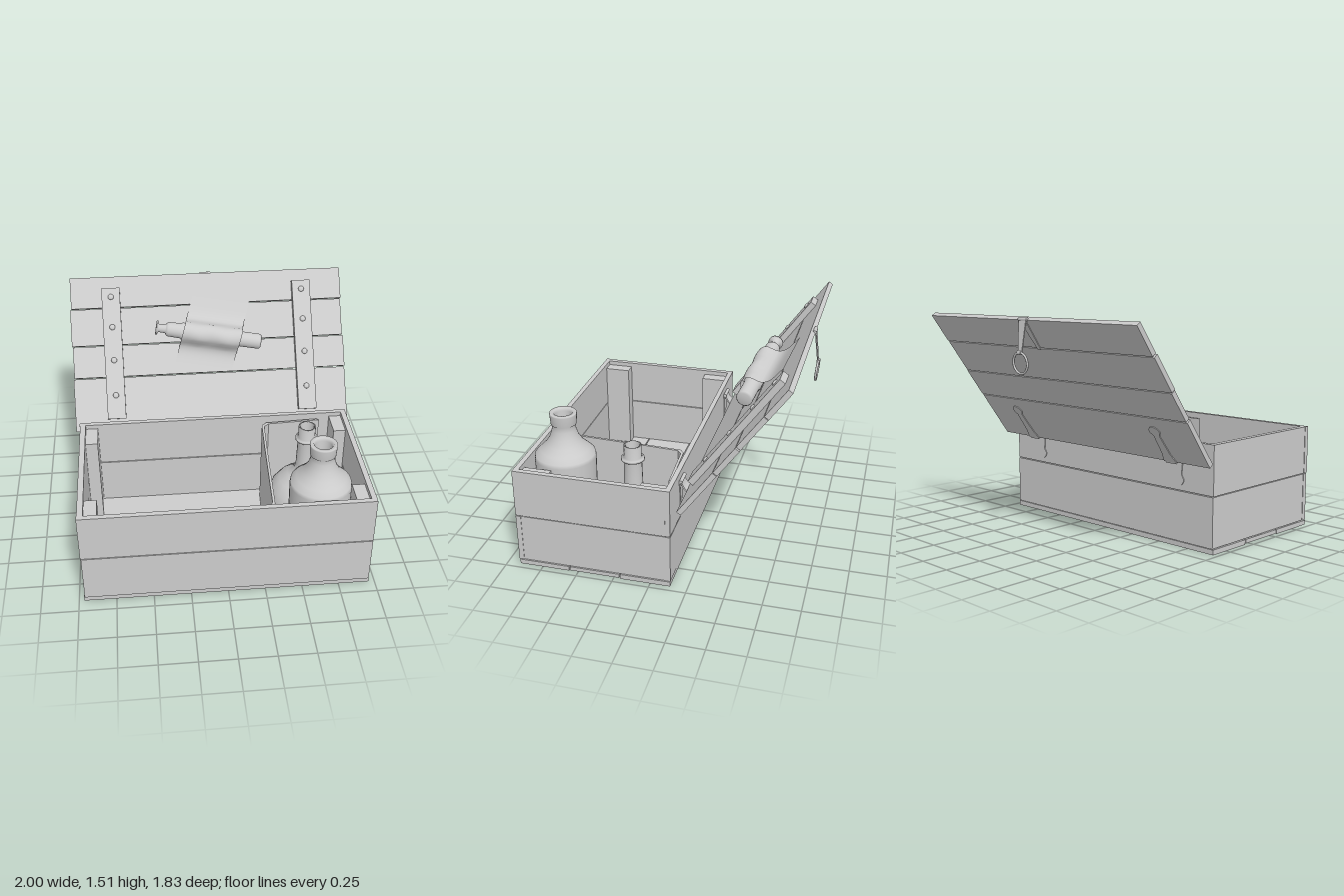
import * as THREE from 'three';

const mat = new THREE.MeshStandardMaterial({ color: 0xcccccc, side: THREE.DoubleSide });
const flat = new THREE.MeshStandardMaterial({ color: 0xcccccc, flatShading: true });

function add(parent, name, geo, x = 0, y = 0, z = 0, m = mat) {
  const mesh = new THREE.Mesh(geo, m);
  mesh.name = name;
  mesh.position.set(x, y, z);
  parent.add(mesh);
  return mesh;
}

// Box given by its min and max corners
function slab(parent, name, x0, x1, y0, y1, z0, z1) {
  return add(parent, name, new THREE.BoxGeometry(x1 - x0, y1 - y0, z1 - z0),
    (x0 + x1) / 2, (y0 + y1) / 2, (z0 + z1) / 2, flat);
}

function lathe(parent, name, pts, x, y, z, sides = 32) {
  return add(parent, name, new THREE.LatheGeometry(pts.map(p => new THREE.Vector2(...p)), sides), x, y, z);
}

// Flat hinge leaf: wide at the knuckle, narrow arm, rounded tip
function leafGeometry(length) {
  const s = new THREE.Shape();
  s.moveTo(-0.055, 0);
  s.lineTo(0.055, 0);
  s.lineTo(0.035, 0.07);
  s.lineTo(0.025, length - 0.07);
  s.lineTo(0.045, length - 0.05);
  s.absarc(0, length - 0.04, 0.045, 0, Math.PI, false);
  s.lineTo(-0.025, length - 0.07);
  s.lineTo(-0.035, 0.07);
  return new THREE.ExtrudeGeometry(s, { depth: 0.006, bevelEnabled: false });
}

function buildCrate() {
  const g = new THREE.Group();
  g.name = 'crate';
  // Floor boards
  [[-0.135, 0.205, 0.008], [0.212, 0.555, 0.014], [0.562, 0.91, 0.01]].forEach(([z0, z1, y0]) =>
    slab(g, 'floorBoard', -0.965, 0.958, y0, 0.042, z0, z1));
  // Two rows of wall boards
  [[0.046, 0.383], [0.389, 0.722]].forEach(([y0, y1], i) => {
    const j = i * 0.004;
    slab(g, 'frontBoard', -0.96 - j, 0.955, y0, y1, 0.882, 0.917);
    slab(g, 'backBoard', -0.96 - j, 0.955, y0, y1, -0.137, -0.104);
    slab(g, 'leftBoard', 0.92, 0.952 + j, y0, y1, -0.104, 0.882);
    slab(g, 'rightBoard', -0.957 - j, -0.922, y0, y1, -0.104, 0.882);
  });
  // Inner corner posts
  for (const x of [-0.922, 0.835])
    for (const z of [-0.104, 0.695]) slab(g, 'cornerPost', x, x + 0.085, 0.042, 0.69, z, z + 0.185);
  // Bent sheet divider
  const mid = [[0.75, -0.085], [0.38, -0.068], [0.345, -0.04], [0.33, 0.2], [0.298, 0.82], [0.27, 0.865], [-0.02, 0.86]];
  const t = 0.008;
  const outline = [
    ...mid.map(([x, z]) => new THREE.Vector2(x - t, -z + t)),
    ...mid.slice().reverse().map(([x, z]) => new THREE.Vector2(x + t, -z - t)),
  ];
  const sheet = new THREE.ExtrudeGeometry(new THREE.Shape(outline), { depth: 0.64, bevelEnabled: false });
  add(g, 'divider', sheet.rotateX(-Math.PI / 2), 0, 0.042, 0);
  return g;
}

function buildBottles() {
  const g = new THREE.Group();
  g.name = 'bottles';
  // Jug with sloping shoulders and a thick lip
  lathe(g, 'jug', [[0, 0], [0.18, 0], [0.2, 0.03], [0.205, 0.66], [0.2, 0.685], [0.165, 0.72], [0.125, 0.76],
    [0.095, 0.81], [0.08, 0.86], [0.078, 0.895], [0.085, 0.9], [0.09, 0.97], [0.088, 0.98],
    [0.065, 0.98], [0.055, 0.96], [0.052, 0.86]], 0.63, 0.042, 0.67);
  // Round-bellied bottle with a long neck and a collar
  lathe(g, 'roundBottle', [[0, 0], [0.16, 0], [0.22, 0.05], [0.255, 0.13], [0.255, 0.2], [0.23, 0.28], [0.18, 0.345],
    [0.12, 0.39], [0.075, 0.43], [0.065, 0.48], [0.06, 0.68], [0.078, 0.685], [0.078, 0.7], [0.058, 0.705],
    [0.06, 0.79], [0.047, 0.79], [0.043, 0.6]], 0.615, 0.042, 0.205, 18);
  return g;
}

// Cloth wrapped over the flask: flat flaps with a hump between
function clothGeometry() {
  const geo = new THREE.PlaneGeometry(0.42, 0.53, 10, 40);
  const p = geo.attributes.position;
  for (let i = 0; i < p.count; i++) {
    const x = p.getX(i), v = p.getY(i) + 0.04;
    const r = 0.076 + 0.004 * Math.sin(x * 30 + v * 25);
    const hump = Math.abs(v) < 0.085 ? 0.065 + Math.sqrt(Math.max(0, r * r - v * v)) : 0;
    const fall = 0.065 * Math.exp(-Math.max(0, Math.abs(v) - 0.075) * 28);
    p.setXYZ(i, x + v * 0.12, v, Math.max(hump, fall) + 0.005);
  }
  geo.computeVertexNormals();
  return geo;
}

function buildLid() {
  const g = new THREE.Group();
  g.name = 'lid';
  g.position.set(0, 0.61, -0.19);
  g.rotation.x = -0.626;
  // Planks with slightly uneven ends
  [[0, 0.38, -0.998, 0.996], [0.387, 0.613, -0.992, 0.999], [0.62, 0.886, -0.998, 0.993], [0.893, 1.118, -0.99, 0.998]]
    .forEach(([a, b, x0, x1]) => slab(g, 'lidPlank', x0, x1, a, b, -0.034, 0));
  for (const x of [-0.698, 0.698]) {
    // Batten with bolts
    slab(g, 'batten', x - 0.066, x + 0.066, 0.08, 1.03, 0, 0.042);
    for (const u of [0.25, 0.505, 0.745, 0.965]) {
      const bolt = add(g, 'bolt', new THREE.SphereGeometry(0.021, 14, 8), x, u, 0.042);
      bolt.scale.z = 0.6;
    }
    add(g, 'hingeLidLeaf', leafGeometry(0.3), x * 0.965, 0, -0.04);
  }
  // Flask strapped at a slant
  const flask = new THREE.Group();
  flask.name = 'wrappedFlask';
  flask.position.set(0, 0.655, 0);
  flask.rotation.z = -0.18;
  g.add(flask);
  const body = lathe(flask, 'flask', [[0, -0.38], [0.045, -0.38], [0.055, -0.368], [0.055, -0.2], [0.062, -0.19],
    [0.062, 0.2], [0.055, 0.21], [0.052, 0.3], [0.044, 0.315], [0.032, 0.32], [0.03, 0.37], [0.052, 0.378],
    [0.052, 0.39], [0, 0.392]], 0, 0, 0.07, 24);
  body.rotation.z = Math.PI / 2;
  add(flask, 'cloth', clothGeometry(), 0.02, 0, 0);
  // Hasp plate on the outside
  const plate = new THREE.Shape();
  plate.moveTo(-0.03, 1.115);
  plate.lineTo(-0.015, 0.88);
  plate.lineTo(0.015, 0.88);
  plate.lineTo(0.03, 1.115);
  add(g, 'haspPlate', new THREE.ExtrudeGeometry(plate, { depth: 0.005, bevelEnabled: false }), 0, 0, -0.039);
  return g;
}

function buildHardware() {
  const g = new THREE.Group();
  g.name = 'hardware';
  for (const x of [-0.675, 0.675]) {
    // Wall leaf, knuckle and curved link to the lid
    const leaf = add(g, 'hingeWallLeaf', leafGeometry(0.24), x, 0.665, -0.137);
    leaf.rotation.x = Math.PI;
    const knuckle = add(g, 'hingeKnuckle', new THREE.CylinderGeometry(0.012, 0.012, 0.11, 12), x, 0.665, -0.148);
    knuckle.rotation.z = Math.PI / 2;
    const link = new THREE.Shape();
    link.moveTo(0.143, 0.665);
    link.quadraticCurveTo(0.155, 0.6, 0.215, 0.577);
    link.lineTo(0.218, 0.586);
    link.quadraticCurveTo(0.163, 0.61, 0.153, 0.665);
    const geo = new THREE.ExtrudeGeometry(link, { depth: 0.09, bevelEnabled: false }).rotateY(Math.PI / 2);
    add(g, 'hingeLink', geo, x - 0.045, 0, 0);
  }
  // Hanging hasp with its pin and ring
  const pin = add(g, 'haspPin', new THREE.CylinderGeometry(0.013, 0.013, 0.08, 12), 0, 1.5, -0.868);
  pin.rotation.z = Math.PI / 2;
  const hasp = new THREE.Shape();
  hasp.moveTo(-0.035, 0);
  hasp.lineTo(-0.018, -0.22);
  hasp.lineTo(0.018, -0.22);
  hasp.lineTo(0.035, 0);
  const strap = add(g, 'hasp', new THREE.ExtrudeGeometry(hasp, { depth: 0.007, bevelEnabled: false }), 0, 1.5, -0.877);
  strap.rotation.x = 0.12;
  const ring = add(g, 'haspRing', new THREE.TorusGeometry(0.068, 0.008, 8, 28), 0, 1.225, -0.897);
  ring.rotation.x = -0.08;
  const eye = add(g, 'haspEye', new THREE.CylinderGeometry(0.013, 0.013, 0.036, 12), 0, 1.29, -0.902);
  eye.rotation.z = Math.PI / 2;
  return g;
}

export function createModel() {
  const model = new THREE.Group();
  model.name = 'openChest';
  model.add(buildCrate(), buildBottles(), buildLid(), buildHardware());
  return model;
}
